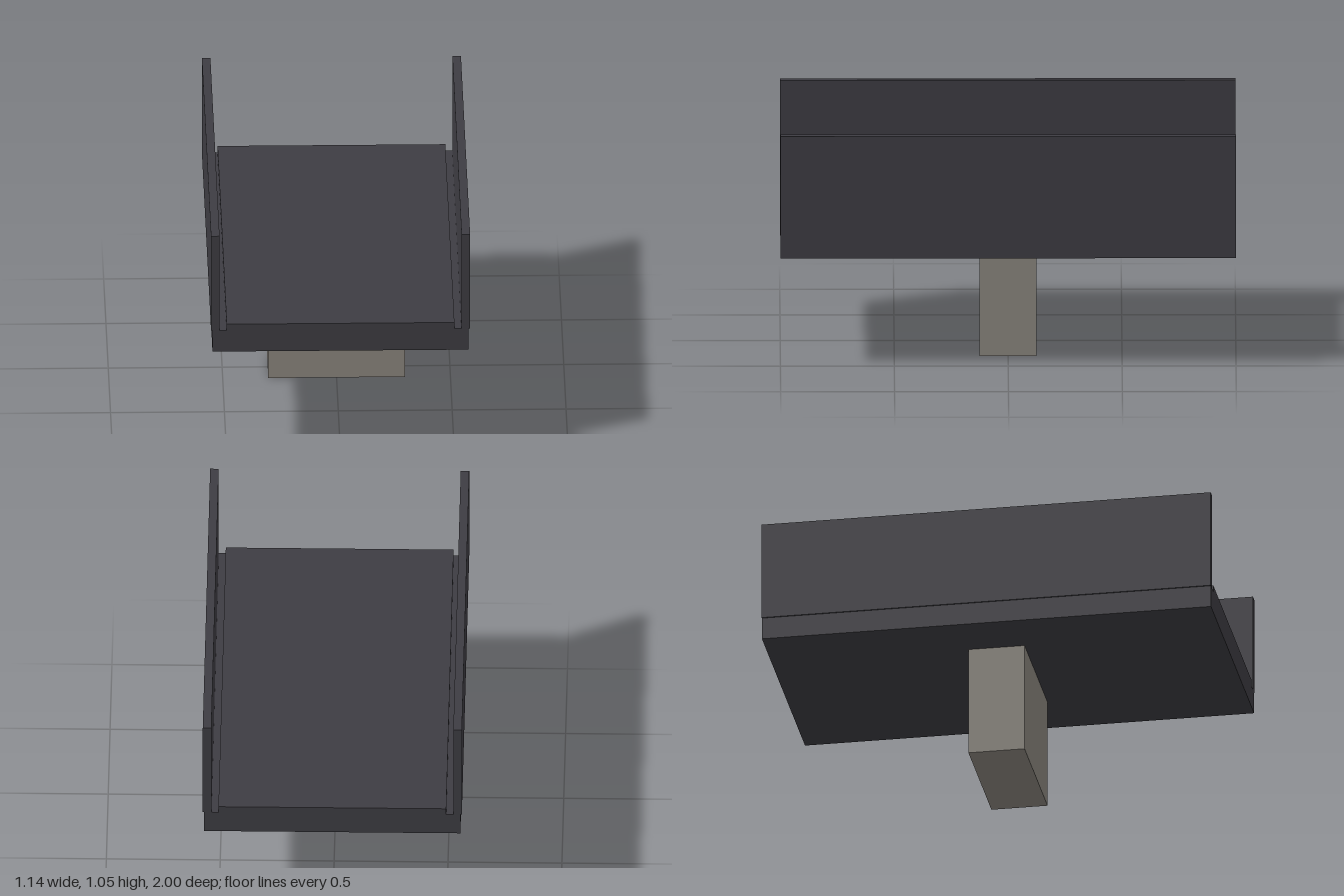
import * as THREE from 'three';

export function createModel() {
  const model = new THREE.Group();
  model.name = 'elevatedRoadSection';

  const asphalt = new THREE.MeshStandardMaterial({ color: 0x3e3d43 });
  asphalt.name = 'dark asphalt';
  const concrete = new THREE.MeshStandardMaterial({ color: 0x8c877f });
  concrete.name = 'warm grey concrete';

  // Box spanning y0..y1, centred on z = 0
  function block(name, material, width, y0, y1, depth, x = 0) {
    const mesh = new THREE.Mesh(new THREE.BoxGeometry(width, y1 - y0, depth), material);
    mesh.name = name;
    mesh.position.set(x, (y0 + y1) / 2, 0);
    model.add(mesh);
  }

  // Supporting pier
  block('pier', concrete, 0.6, 0, 0.5, 0.25);

  // Deck slab with the raised road surface on it
  block('deck', asphalt, 1.125, 0.5, 0.6, 2);
  block('roadSurface', asphalt, 1, 0.6, 0.63, 2);

  // Side walls, slightly overhanging the deck
  for (const side of [-1, 1]) {
    block(side > 0 ? 'leftWall' : 'rightWall', asphalt, 0.0375, 0.6, 1.05, 2, side * 0.55);
  }

  return model;
}
